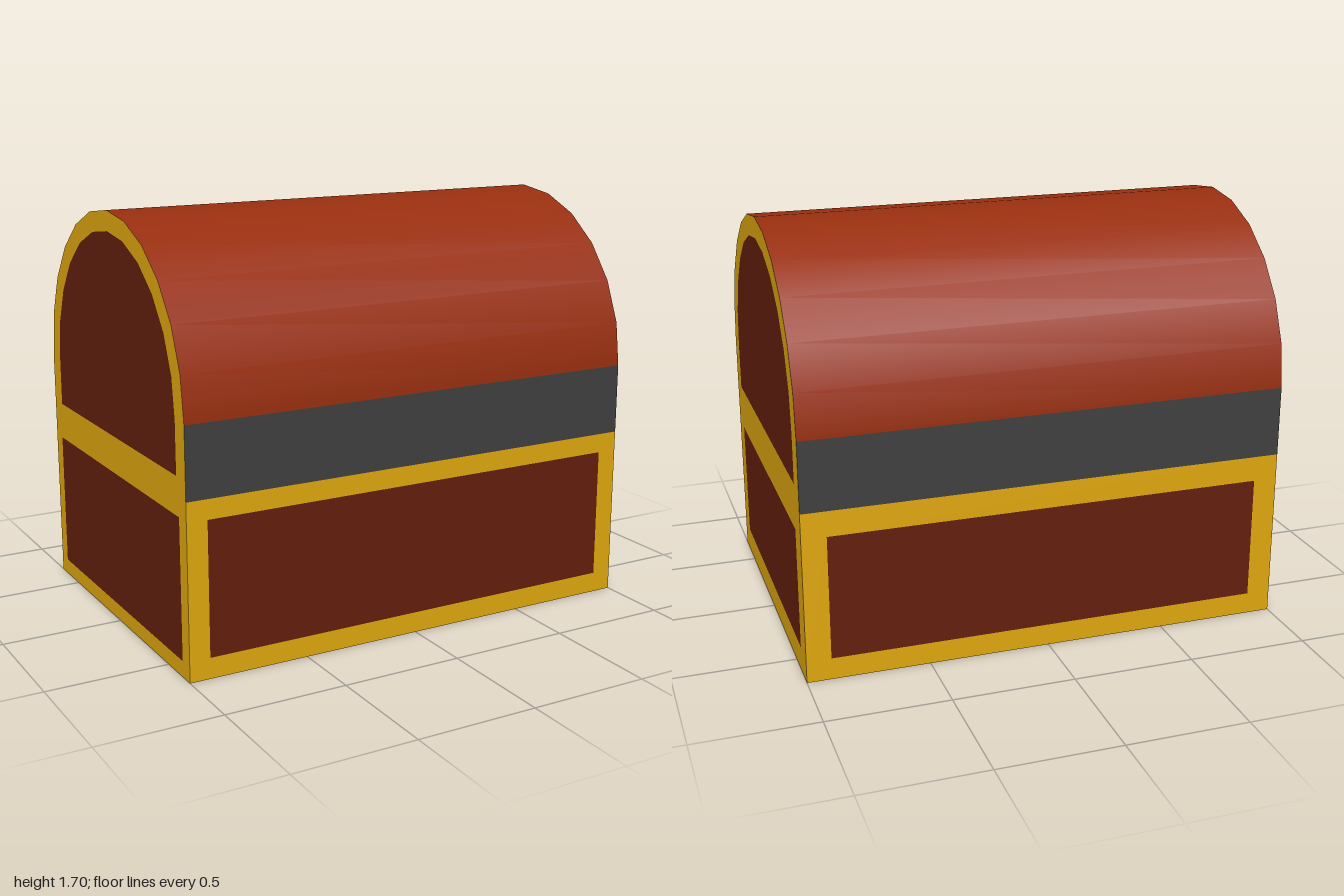
import * as THREE from 'three';

const W = 1, D = 0.7, SPRING = 1, FRAME_TOP = 0.71; // half width, half depth, lid spring line, frame top

const material = (color) => new THREE.MeshStandardMaterial({ color });
const gold = material(0xe0a80f);
const panelRed = material(0x641f0e);
const lidRed = material(0x992f0f);
const iron = material(0x404040);
const grey = material(0xcccccc);

// Corner points, counter-clockwise
const rect = (half, y0, y1) => [[-half, y0], [half, y0], [half, y1], [-half, y1]]
  .map(([x, y]) => new THREE.Vector2(x, y));

// Straight sides topped by a twelve-sided half round
function arch(radius, y0) {
  const points = [new THREE.Vector2(-radius, y0), new THREE.Vector2(radius, y0)];
  for (let i = 0; i <= 12; i++) {
    const a = (i / 12) * Math.PI;
    points.push(new THREE.Vector2(radius * Math.cos(a), SPRING + radius * Math.sin(a)));
  }
  return points;
}

function flat(name, outline, mat, holes = []) {
  const shape = new THREE.Shape(outline);
  holes.forEach((h) => shape.holes.push(new THREE.Path(h)));
  const mesh = new THREE.Mesh(new THREE.ShapeGeometry(shape), mat);
  mesh.name = name;
  return mesh;
}

// A wall: gold frame with flush panels filling its openings
function wall(name, outline, panels, angle, distance) {
  const group = new THREE.Group();
  group.name = name;
  group.add(flat(name + 'Frame', outline, gold, panels));
  panels.forEach((p, i) => group.add(flat(name + 'Panel' + (i + 1), p, panelRed)));
  group.rotation.y = angle;
  group.position.set(Math.sin(angle) * distance, 0, Math.cos(angle) * distance);
  return group;
}

export function createModel() {
  const chest = new THREE.Group();
  chest.name = 'chest';

  // Front and back walls, each with a dark band below the lid
  const front = wall('front', rect(W, 0, FRAME_TOP), [rect(0.915, 0.085, 0.63)], 0, D);
  const back = wall('back', rect(W, 0, FRAME_TOP), [rect(0.9, 0.09, 0.605)], Math.PI, D);
  for (const side of [front, back]) {
    side.add(flat(side.name + 'Band', rect(W, FRAME_TOP, SPRING), iron));
    chest.add(side);
  }

  // Arched end walls
  chest.add(wall('leftEnd', arch(D, 0),
    [rect(0.6, 0.105, 0.61), arch(0.613, 0.8)], Math.PI / 2, W));
  chest.add(wall('rightEnd', arch(D, 0),
    [rect(0.635, 0.065, 0.635), arch(0.618, 0.79)], -Math.PI / 2, W));

  // Smooth half-round lid
  const lid = new THREE.Mesh(
    new THREE.CylinderGeometry(D, D, 2 * W, 12, 1, true, 0, Math.PI).rotateZ(Math.PI / 2), lidRed);
  lid.name = 'lid';
  lid.position.y = SPRING;
  chest.add(lid);

  // Underside
  const base = new THREE.Mesh(new THREE.PlaneGeometry(2 * W, 2 * D).rotateX(Math.PI / 2), grey);
  base.name = 'base';
  chest.add(base);

  return chest;
}
